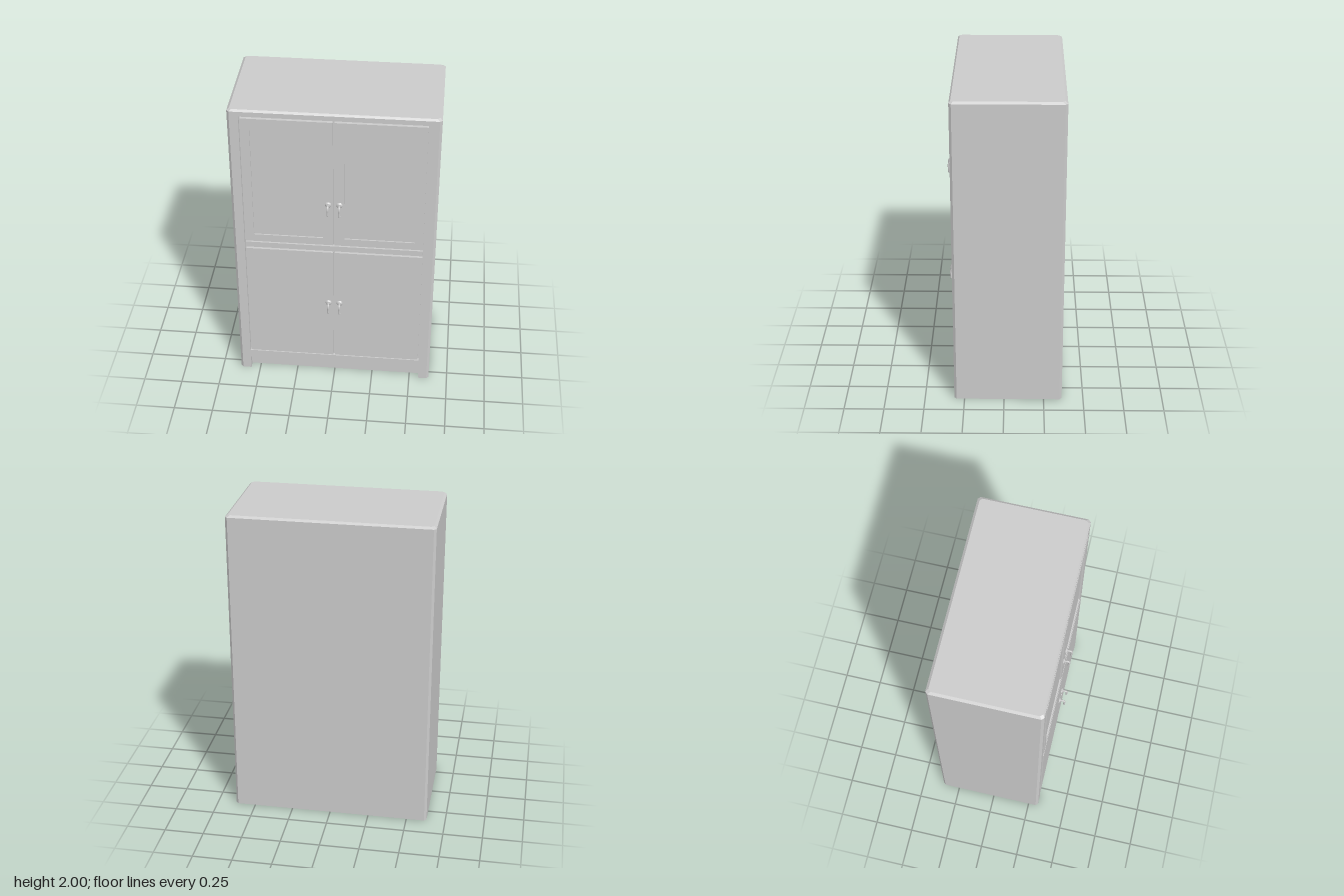
import * as THREE from 'three';

const grey = new THREE.MeshStandardMaterial({ color: 0xcccccc, side: THREE.DoubleSide });
const flat = new THREE.MeshStandardMaterial({ color: 0xcccccc, side: THREE.DoubleSide, flatShading: true });

const FRONT = 0.315, BACK = -0.365, HALF = 0.63, TOP = 2, BEVEL = 0.015;

function add(parent, name, geometry, material = grey) {
  const mesh = new THREE.Mesh(geometry, material);
  mesh.name = name;
  parent.add(mesh);
  return mesh;
}

// Box given by its lower and upper corners
function block(parent, name, [x0, y0, z0], [x1, y1, z1]) {
  const mesh = add(parent, name, new THREE.BoxGeometry(x1 - x0, y1 - y0, z1 - z0));
  mesh.position.set((x0 + x1) / 2, (y0 + y1) / 2, (z0 + z1) / 2);
  return mesh;
}

function rectPath(x0, y0, x1, y1, Type = THREE.Shape) {
  return new Type([[x0, y0], [x1, y0], [x1, y1], [x0, y1]].map(p => new THREE.Vector2(...p)));
}

// Flat plate with its front face at z = front
function plate(parent, name, shape, depth, front) {
  const geometry = new THREE.ExtrudeGeometry(shape, { depth, bevelEnabled: false });
  const mesh = add(parent, name, geometry);
  mesh.position.z = front - depth;
  return mesh;
}

// Thin open-bottomed casing: chamfered rings from the floor to the top, closed by a lid
function casing() {
  const ring = (inset, y) => {
    const x = HALF - inset, f = FRONT - inset * 0.7, b = BACK + inset, c = BEVEL;
    return [[x - c, f], [x, f - c], [x, b + c], [x - c, b],
      [c - x, b], [-x, b + c], [-x, f - c], [c - x, f]].map(([px, pz]) => [px, y, pz]);
  };
  const rings = [ring(0, 0), ring(0, TOP - 0.012), ring(BEVEL, TOP)];
  const n = rings[0].length, index = [];
  for (let r = 0; r < 2; r++) {
    // the front stays open below the top chamfer
    for (let i = 0; i < (r ? n : n - 1); i++) {
      const a = r * n + i, b = r * n + (i + 1) % n;
      index.push(a, b, b + n, a, b + n, a + n);
    }
  }
  for (let i = 1; i < n - 1; i++) index.push(2 * n, 2 * n + i, 2 * n + i + 1);
  const geometry = new THREE.BufferGeometry();
  geometry.setAttribute('position', new THREE.Float32BufferAttribute(rings.flat(2), 3));
  geometry.setIndex(index);
  const split = geometry.toNonIndexed();
  split.computeVertexNormals();
  return split;
}

// Lever handle: round rose, neck and a lever bent downwards
function handle(parent, x, y, withLock) {
  const group = new THREE.Group();
  group.name = 'handle';
  group.position.set(x, y, FRONT + 0.003);
  const rose = add(group, 'handleRose', new THREE.CylinderGeometry(0.012, 0.02, 0.009, 20));
  rose.rotation.x = Math.PI / 2;
  rose.position.z = 0.0045;
  const path = new THREE.CatmullRomCurve3([
    [0, 0, 0.004], [0, 0.003, 0.02], [0, 0.002, 0.032], [0, -0.012, 0.038], [0, -0.033, 0.036], [0, -0.056, 0.035],
  ].map(p => new THREE.Vector3(...p)));
  add(group, 'handleLever', new THREE.TubeGeometry(path, 24, 0.0068, 10));
  const tip = add(group, 'handleTip', new THREE.SphereGeometry(0.0068, 10, 8));
  tip.position.set(0, -0.056, 0.035);
  if (withLock) {
    const lock = add(group, 'keyLock', new THREE.CylinderGeometry(0.007, 0.008, 0.005, 14));
    lock.rotation.x = Math.PI / 2;
    lock.position.set(0, -0.087, 0.002);
  }
  parent.add(group);
}

export function createModel() {
  const model = new THREE.Group();
  model.name = 'cabinet';

  add(model, 'casing', casing(), flat);

  // Front frame: stiles running down into feet, top and bottom rails
  const w = HALF - BEVEL, open = 0.56;
  const frame = new THREE.Shape([
    [-w, 0], [-open, 0], [-open, 0.095], [open, 0.095], [open, 0], [w, 0], [w, TOP - 0.012], [-w, TOP - 0.012],
  ].map(p => new THREE.Vector2(...p)));
  frame.holes.push(rectPath(-open, 0.153, open, 1.957, THREE.Path));
  plate(model, 'frontFrame', frame, 0.035, FRONT);

  // Set-back kick board and the board behind the door gaps
  block(model, 'kickBoard', [-0.6, 0, 0.255], [0.6, 0.14, 0.27]);
  block(model, 'doorBacking', [-0.57, 0.145, 0.283], [0.57, 1.965, 0.293]);

  // Rail between upper and lower doors
  block(model, 'middleRail', [-0.552, 1.015, 0.29], [0.552, 1.053, FRONT]);

  for (const side of [-1, 1]) {
    const x0 = side < 0 ? -0.552 : 0.005, x1 = side < 0 ? -0.005 : 0.552;
    const p0 = side < 0 ? -0.498 : 0.066, p1 = side < 0 ? -0.066 : 0.498;

    const lower = rectPath(x0, 0.162, x1, 1.005);
    plate(model, 'lowerDoor', lower, 0.026, FRONT + 0.003);

    // Upper door with a sunken panel
    const upper = rectPath(x0, 1.064, x1, 1.947);
    upper.holes.push(rectPath(p0, 1.115, p1, 1.88, THREE.Path));
    plate(model, 'upperDoorFrame', upper, 0.026, FRONT + 0.003);
    block(model, 'upperDoorPanel', [p0, 1.115, 0.295], [p1, 1.88, FRONT - 0.006]);

    for (const y of [0.603, 1.367]) handle(model, side * 0.035, y, side > 0);
  }
  return model;
}
